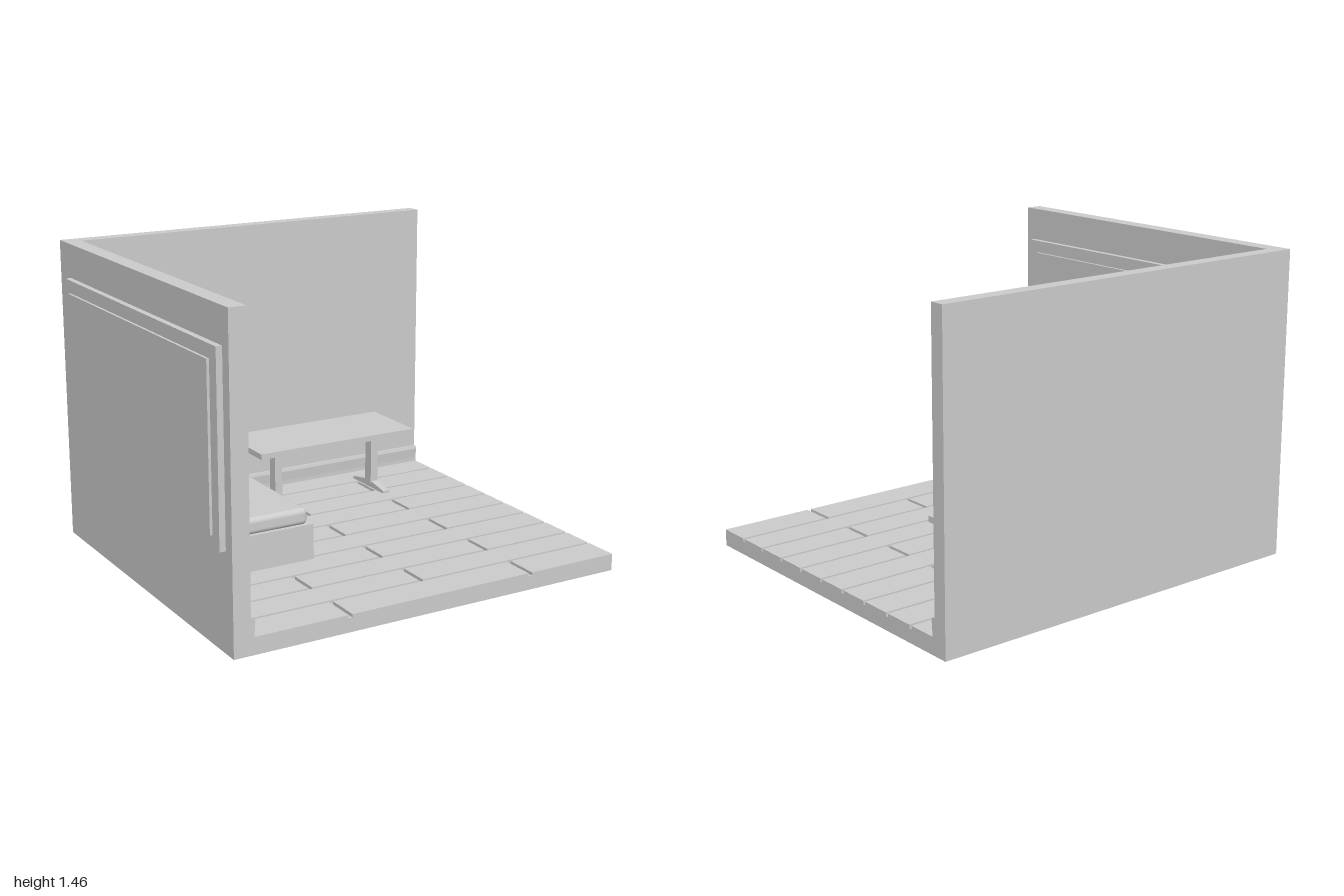
import * as THREE from 'three';
import { mergeGeometries, mergeVertices } from 'three/addons/utils/BufferGeometryUtils.js';
import { RoundedBoxGeometry } from 'three/addons/geometries/RoundedBoxGeometry.js';

const grey = new THREE.MeshStandardMaterial({ color: 0xcccccc });

function add(parent, name, geometry) {
  const mesh = new THREE.Mesh(geometry, grey);
  mesh.name = name;
  parent.add(mesh);
  return mesh;
}

function group(parent, name) {
  const g = new THREE.Group();
  g.name = name;
  parent.add(g);
  return g;
}

// Box given by its limits; a radius rounds the edges
function box(parent, name, [x0, x1], [y0, y1], [z0, z1], radius = 0) {
  const size = [x1 - x0, y1 - y0, z1 - z0];
  const geometry = radius ? new RoundedBoxGeometry(...size, 4, radius) : new THREE.BoxGeometry(...size);
  const mesh = add(parent, name, geometry);
  mesh.position.set((x0 + x1) / 2, (y0 + y1) / 2, (z0 + z1) / 2);
  return mesh;
}

function extrude(points, depth) {
  const shape = new THREE.Shape(points.map(([x, y]) => new THREE.Vector2(x, y)));
  return new THREE.ExtrudeGeometry(shape, { depth, bevelEnabled: false });
}

// Cushion with pinched sides and pointed corners, made of two bulging sheets
function pillowGeometry(width, depth, thickness) {
  const sheets = [1, -1].map((side) => {
    const sheet = new THREE.PlaneGeometry(2, 2, 20, 20).rotateX(-side * Math.PI / 2);
    const p = sheet.attributes.position;
    for (let i = 0; i < p.count; i++) {
      const u = p.getX(i), v = p.getZ(i);
      const a = Math.max(0, 1 - u * u), b = Math.max(0, 1 - v * v);
      p.setXYZ(i,
        u * (1 - 0.1 * b) * width / 2,
        side * Math.pow(a * b, 0.45) * thickness / 2,
        v * (1 - 0.14 * a) * depth / 2);
    }
    sheet.deleteAttribute('uv');
    sheet.deleteAttribute('normal');
    return sheet;
  });
  const geometry = mergeVertices(mergeGeometries(sheets), 1e-5);
  geometry.computeVertexNormals();
  return geometry;
}

function buildRoom(root) {
  const room = group(root, 'room');
  box(room, 'floorSlab', [-0.96, 1], [0, 0.065], [-0.87, 0.87]);
  box(room, 'sideWall', [-0.96, -0.88], [0, 1.455], [-0.87, 0.87]);
  box(room, 'backWall', [-0.88, 1], [0, 1.455], [-0.87, -0.8]);

  // Staggered floor planks
  const planks = group(room, 'floorPlanks');
  const pitch = 0.1666, gap = 0.007;
  for (let row = 0; row < 10; row++) {
    const z1 = row ? 0.7 - pitch * (row - 1) - gap : 0.87;
    const z0 = 0.7 - pitch * row + gap;
    const ends = row % 2 ? [-0.88, 0.06, 1] : [-0.88, -0.41, 0.53, 1];
    for (let i = 0; i + 1 < ends.length; i++) {
      const x0 = ends[i] + (i ? 0.01 : 0);
      const x1 = ends[i + 1] - (i + 2 < ends.length ? 0.01 : 0);
      box(planks, 'plank', [x0, x1], [0.065, 0.08], [z0, z1]);
    }
  }

  // Skirting boards with a sloping face
  const profile = [[0, 0.065], [0.016, 0.065], [0.016, 0.1], [0.02, 0.15], [0.016, 0.165], [0, 0.165]];
  const side = add(room, 'sideSkirting', extrude(profile, 1.67));
  side.position.set(-0.88, 0, -0.8);
  const back = add(room, 'backSkirting', extrude(profile.map(([x, y]) => [-x, y]).reverse(), 1.88));
  back.rotation.y = Math.PI / 2;
  back.position.set(-0.88, 0, -0.8);

  // Window set through the side wall
  const win = group(room, 'window');
  box(win, 'windowFrame', [-0.988, -0.852], [0.45, 1.295], [-0.745, 0.815]);
  box(win, 'windowPane', [-1, -0.838], [0.505, 1.235], [-0.685, 0.755]);
}

function buildBed(root) {
  const bed = group(root, 'bed');
  box(bed, 'bedBase', [-0.84, -0.22], [0.08, 0.25], [-0.71, 0.228]);
  box(bed, 'headboard', [-0.84, -0.22], [0.08, 0.508], [-0.735, -0.71]);
  box(bed, 'mattress', [-0.825, -0.25], [0.24, 0.313], [-0.71, 0.2], 0.01);
  box(bed, 'blanket', [-0.833, -0.24], [0.245, 0.325], [-0.43, 0.215], 0.025);
  box(bed, 'blanketFold', [-0.838, -0.225], [0.248, 0.336], [-0.473, -0.385], 0.02);

  // Two pillows leaning on the headboard
  const left = add(bed, 'pillow', pillowGeometry(0.235, 0.14, 0.06));
  left.position.set(-0.67, 0.368, -0.648);
  left.rotation.set(0.65, 0.03, 0, 'YXZ');
  const right = add(bed, 'pillow', pillowGeometry(0.25, 0.145, 0.06));
  right.position.set(-0.397, 0.355, -0.648);
  right.rotation.set(0.5, -0.05, -0.03, 'YXZ');
}

function buildTable(root) {
  const table = group(root, 'table');
  box(table, 'tableTop', [-0.175, 0.7], [0.386, 0.414], [-0.73, -0.36]);

  // Column legs on feet that taper toward their ends
  const foot = [[-0.145, 0.08], [0.145, 0.08], [0.145, 0.093], [0.03, 0.113], [-0.03, 0.113], [-0.145, 0.093]];
  for (const x of [0.004, 0.566]) {
    const leg = group(table, 'tableLeg');
    box(leg, 'legColumn', [x - 0.02, x + 0.02], [0.1, 0.386], [-0.57, -0.515]);
    const mesh = add(leg, 'legFoot', extrude(foot, 0.036));
    mesh.rotation.y = Math.PI / 2;
    mesh.position.set(x - 0.018, 0, -0.543);
  }
}

export function createModel() {
  const root = new THREE.Group();
  root.name = 'bedroom';
  buildRoom(root);
  buildBed(root);
  buildTable(root);
  return root;
}
